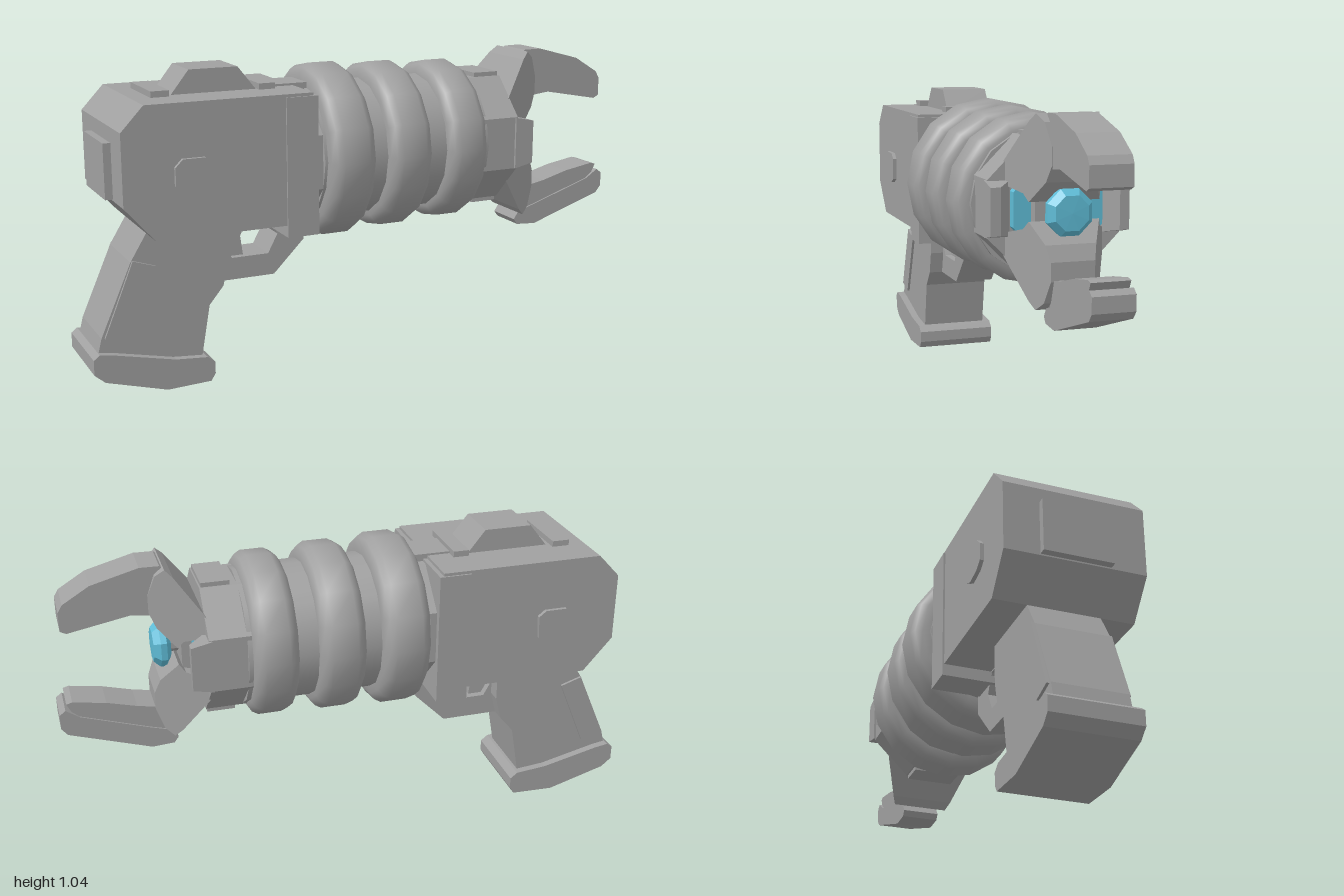
import * as THREE from 'three';
import { toCreasedNormals } from 'three/addons/utils/BufferGeometryUtils.js';

const grey = new THREE.MeshStandardMaterial({ color: 0xa0a0a0 });
grey.name = 'metal grey';
const cyan = new THREE.MeshStandardMaterial({ color: 0x5fbcd6 });
cyan.name = 'energy cyan';

const AXIS = 0.725; // height of the barrel axis

export function createModel() {
  const model = new THREE.Group();

  const add = (name, geometry, material = grey) => {
    const mesh = new THREE.Mesh(geometry, material);
    mesh.name = name;
    model.add(mesh);
    return mesh;
  };
  const flat = (geometry) => {
    const g = geometry.index ? geometry.toNonIndexed() : geometry;
    g.computeVertexNormals();
    return g;
  };
  // side profile in x, y extruded between two z values
  const slab = (points, z0, z1, hole) => {
    const shape = new THREE.Shape(points.map(([x, y]) => new THREE.Vector2(x, y)));
    if (hole) shape.holes.push(new THREE.Path(hole.map(([x, y]) => new THREE.Vector2(x, y))));
    const g = new THREE.ExtrudeGeometry(shape, { depth: z1 - z0, bevelEnabled: false });
    return g.translate(0, 0, z0);
  };
  const block = (name, x0, x1, y0, y1, halfZ, material) =>
    add(name, new THREE.BoxGeometry(x1 - x0, y1 - y0, halfZ * 2), material)
      .position.set((x0 + x1) / 2, (y0 + y1) / 2, 0);
  // lathe around the barrel axis, points are [radius, x]
  const turned = (points, sides, offset = 0) => {
    const g = new THREE.LatheGeometry(points.map(([r, x]) => new THREE.Vector2(r, x)), sides);
    return g.rotateY(offset).rotateZ(-Math.PI / 2).translate(0, AXIS, 0);
  };
  const flip = (points) => points.map(([x, y]) => [x, 2 * AXIS - y]);

  // receiver
  add('receiver', slab([[-0.905, 0.645], [-0.905, 0.88], [-0.83, 0.96], [-0.27, 0.96],
    [-0.27, 0.53], [-0.805, 0.53]], -0.232, 0.232));
  block('frontCollar', -0.365, -0.255, 0.49, 0.95, 0.238);
  block('rearPlate', -0.93, -0.9, 0.65, 0.83, 0.115);
  add('topHump', slab([[-0.7, 0.955], [-0.635, 1.037], [-0.47, 1.037], [-0.405, 0.955]], -0.083, 0.083));
  block('rearTopBar', -0.77, -0.71, 0.95, 0.98, 0.11);
  block('frontTopBar', -0.405, -0.35, 0.95, 0.98, 0.105);
  block('topRail', -0.35, -0.22, 0.92, 0.967, 0.065);
  for (const s of [-1, 1]) {
    const z = s * 0.236;
    add('sideBadge', slab([[-0.74, 0.7], [-0.74, 0.76], [-0.715, 0.785], [-0.64, 0.785], [-0.615, 0.765],
      [-0.62, 0.685], [-0.65, 0.67], [-0.71, 0.68]], z - 0.009, z + 0.009));
  }

  // grip
  add('grip', slab([[-0.79, 0.54], [-0.805, 0.53], [-0.86, 0.44], [-0.965, 0.2], [-0.98, 0.14],
    [-0.7, 0.08], [-0.63, 0.09], [-0.6, 0.26], [-0.55, 0.32], [-0.53, 0.4], [-0.53, 0.54]], -0.12, 0.12));
  for (const s of [-1, 1]) {
    const z = s * 0.122;
    add('gripPanel', slab([[-0.855, 0.445], [-0.78, 0.42], [-0.88, 0.18], [-0.955, 0.2]], z - 0.007, z + 0.007));
  }
  add('gripBase', slab([[-1, 0.14], [-0.98, 0.155], [-0.93, 0.147], [-0.73, 0.1], [-0.62, 0.09],
    [-0.595, 0.07], [-0.595, 0.03], [-0.61, 0.005], [-0.76, 0], [-0.965, 0.06], [-1, 0.09]], -0.147, 0.147));

  // trigger guard
  add('triggerGuard', slab([[-0.56, 0.32], [-0.35, 0.32], [-0.24, 0.43], [-0.24, 0.54], [-0.55, 0.54]],
  -0.07, 0.07, [[-0.53, 0.51], [-0.53, 0.45], [-0.5, 0.395], [-0.37, 0.395],
    [-0.335, 0.46], [-0.37, 0.525], [-0.52, 0.525]]));
  add('trigger', slab([[-0.535, 0.53], [-0.535, 0.44], [-0.5, 0.385], [-0.45, 0.385],
    [-0.46, 0.46], [-0.43, 0.53]], -0.045, 0.045));

  // barrel
  add('barrelNeck', flat(turned([[0, -0.28], [0.235, -0.28], [0.235, -0.2], [0, -0.2]], 8, Math.PI / 8)));
  add('barrelCore', toCreasedNormals(turned([[0, -0.23], [0.235, -0.23], [0.235, 0.39], [0, 0.39]], 16), 0.6));
  [[-0.22, -0.06, 0.297], [0, 0.155, 0.288], [0.225, 0.375, 0.28]].forEach(([a, b, r]) => {
    add('barrelRing', toCreasedNormals(turned([[0.22, a], [r - 0.035, a], [r - 0.012, a + 0.014], [r, a + 0.035],
      [r, b - 0.035], [r - 0.012, b - 0.014], [r - 0.035, b], [0.22, b]], 16), 0.75));
  });

  // muzzle
  add('muzzleCollar', flat(turned([[0, 0.37], [0.238, 0.37], [0.238, 0.515], [0, 0.515]], 8, Math.PI / 8)));
  block('muzzleTopPlate', 0.415, 0.51, 0.93, 0.96, 0.085);
  block('muzzleBottomPlate', 0.415, 0.51, 0.49, 0.52, 0.085);
  for (const s of [-1, 1]) {
    const lug = slab([[0.505, 0.635], [0.575, 0.65], [0.575, 0.8], [0.505, 0.815]], -0.04, 0.04);
    const p = lug.attributes.position;
    // inner side slopes towards the barrel axis
    for (let i = 0; i < p.count; i++) {
      const outer = p.getZ(i) * s > 0;
      p.setZ(i, s * (outer ? 0.228 : 0.14 + (p.getX(i) - 0.505) * 0.8));
    }
    add('sideLug', flat(lug));
    const window_ = new THREE.Shape([[-0.1, -0.08], [0.125, -0.08], [0.147, -0.055], [0.147, 0.055],
      [0.125, 0.08], [-0.1, 0.08]].map(([z, y]) => new THREE.Vector2(z, y)));
    const glow = new THREE.ExtrudeGeometry(window_, { depth: 0.04, bevelEnabled: false });
    glow.rotateY(s > 0 ? -Math.PI / 2 : Math.PI / 2).translate(s > 0 ? 0.55 : 0.51, AXIS, 0);
    add('sideGlow', glow, cyan);
  }

  // emitter
  block('emitterBase', 0.51, 0.585, 0.66, 0.79, 0.09);
  add('emitterStem', flat(turned([[0, 0.57], [0.03, 0.57], [0.03, 0.63], [0, 0.63]], 8, Math.PI / 8)));
  add('emitterOrb', flat(turned([[0, 0.612], [0.05, 0.612], [0.078, 0.628], [0.078, 0.648], [0.058, 0.67], [0, 0.672]],
    8, Math.PI / 8)), cyan);

  // claw roots narrow towards the front
  const root = [[0.51, 0.8], [0.51, 0.875], [0.6, 1.0], [0.625, 1.025], [0.655, 1.0], [0.68, 0.93],
    [0.68, 0.87], [0.66, 0.82], [0.6, 0.755], [0.58, 0.78]];
  for (const [name, points] of [['upperClawRoot', root], ['lowerClawRoot', flip(root)]]) {
    const g = slab(points, -1, 1);
    const p = g.attributes.position;
    for (let i = 0; i < p.count; i++) p.setZ(i, p.getZ(i) * (0.165 - (p.getX(i) - 0.51) * 0.55));
    add(name, flat(g));
  }

  // claw fingers
  add('upperClaw', slab([[0.6, 0.96], [0.615, 1.01], [0.635, 1.027], [0.7, 1.028], [0.86, 0.985], [0.95, 0.93],
    [0.965, 0.905], [0.965, 0.84], [0.945, 0.83], [0.74, 0.868], [0.67, 0.86]], -0.068, 0.068));
  add('lowerClaw', slab([[0.61, 0.4], [0.625, 0.38], [0.7, 0.375], [0.975, 0.465], [0.995, 0.49], [0.995, 0.54],
    [0.975, 0.555], [0.93, 0.525], [0.7, 0.45], [0.63, 0.43]], -0.068, 0.068));
  add('lowerClawPad', slab([[0.64, 0.43], [0.7, 0.45], [0.93, 0.525], [0.955, 0.545], [0.97, 0.575],
    [0.95, 0.58], [0.84, 0.562], [0.74, 0.535], [0.66, 0.52]], -0.062, 0.062));

  return model;
}
